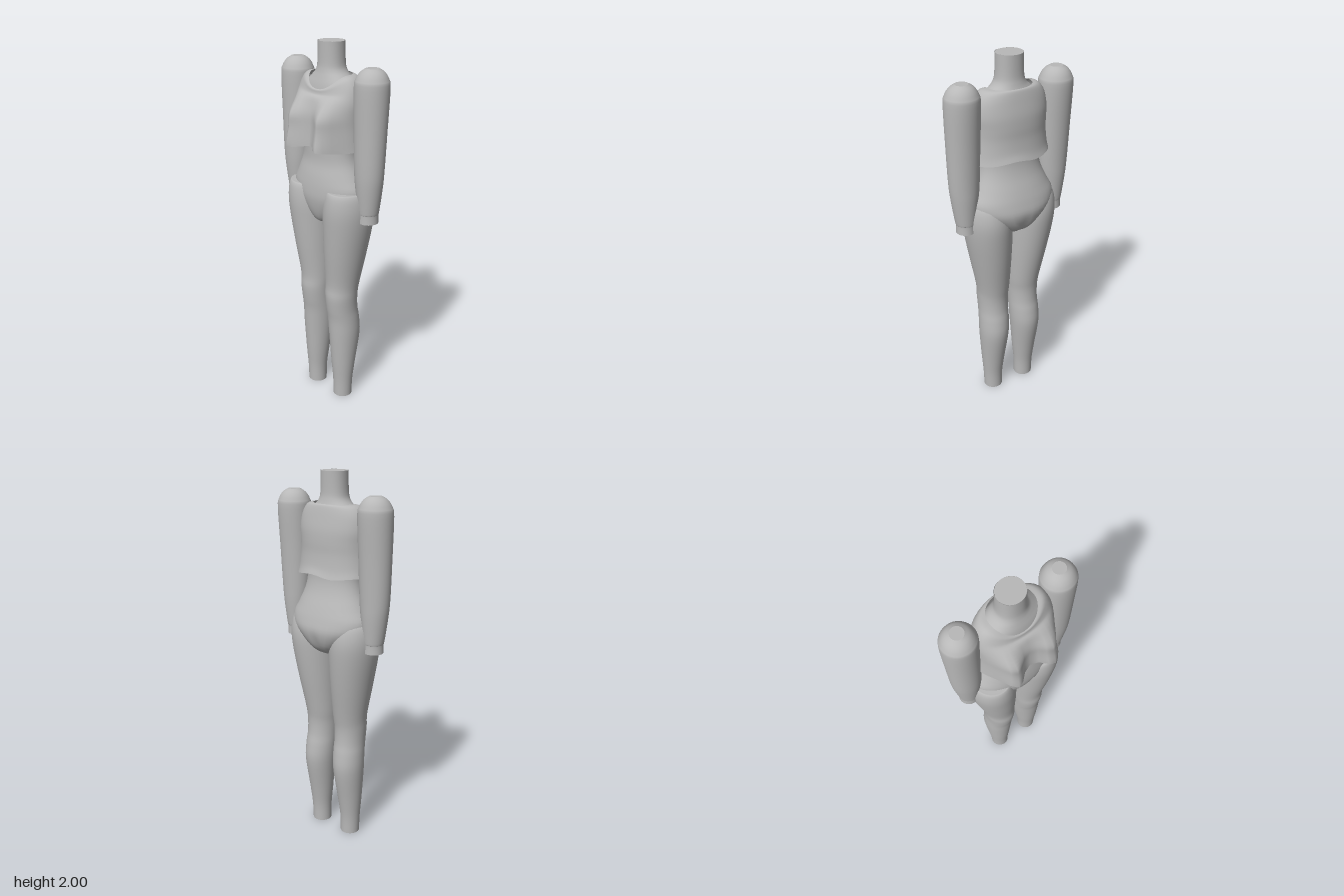
import * as THREE from 'three';

const SEG = 40;
const grey = new THREE.MeshStandardMaterial({ color: 0xb8b8b8, side: THREE.DoubleSide });
grey.name = 'mannequin grey';

// Smooth value between cross-sections
function spline(p0, p1, p2, p3, t) {
  return 0.5 * (2 * p1 + (p2 - p0) * t + (2 * p0 - 5 * p1 + 4 * p2 - p3) * t * t
    + (3 * p1 - p0 - 3 * p2 + p3) * t * t * t);
}

// Rings run bottom to top: [y, centreX, halfWidth, zFront, zBack]
function loft(name, rings, { power = 2, steps = 4, deform } = {}) {
  const at = (i) => rings[Math.min(Math.max(i, 0), rings.length - 1)];
  const rows = [];
  for (let i = 0; i < rings.length - 1; i++) {
    for (let s = 0; s < steps; s++) {
      rows.push(rings[0].map((_, k) => spline(at(i - 1)[k], at(i)[k], at(i + 1)[k], at(i + 2)[k], s / steps)));
    }
  }
  rows.push(rings[rings.length - 1]);
  const pos = [], index = [];
  const round = (v) => Math.sign(v) * Math.abs(v) ** (2 / power);
  rows.forEach(([y, cx, rx, zf, zb], r) => {
    for (let j = 0; j < SEG; j++) {
      const a = (j / SEG) * Math.PI * 2;
      const p = new THREE.Vector3(
        cx + rx * round(Math.sin(a)), y,
        (zf + zb) / 2 + (zf - zb) / 2 * round(Math.cos(a)));
      if (deform) deform(p, Math.cos(a), y);
      pos.push(p.x, p.y, p.z);
      if (r < rows.length - 1) {
        const b = r * SEG + j, c = r * SEG + (j + 1) % SEG;
        index.push(b, c, b + SEG, c, c + SEG, b + SEG);
      }
    }
  });
  const geo = new THREE.BufferGeometry();
  geo.setAttribute('position', new THREE.Float32BufferAttribute(pos, 3));
  geo.setIndex(index);
  geo.computeVertexNormals();
  const mesh = new THREE.Mesh(geo, grey);
  mesh.name = name;
  return mesh;
}

// Flat horizontal disc closing the top of a tube
function cap(name, x, y, z, rx, rz) {
  const mesh = new THREE.Mesh(new THREE.CircleGeometry(1, SEG).scale(rx, rz, 1).rotateX(-Math.PI / 2), grey);
  mesh.position.set(x, y, z);
  mesh.name = name;
  return mesh;
}

const bell = (v, centre, width) => Math.exp(-(((v - centre) / width) ** 2));
const ramp = THREE.MathUtils.smoothstep;

export function createModel() {
  const model = new THREE.Group();
  model.name = 'mannequin';

  // Torso from crotch to neck
  model.add(loft('torso', [
    [1.06, 0, 0.01, -0.01, -0.04],
    [1.075, 0, 0.05, 0.06, -0.11],
    [1.12, 0, 0.12, 0.09, -0.165],
    [1.2, 0, 0.215, 0.108, -0.19],
    [1.265, 0, 0.238, 0.108, -0.18],
    [1.33, 0, 0.208, 0.1, -0.16],
    [1.4, 0, 0.177, 0.086, -0.135],
    [1.46, 0, 0.165, 0.084, -0.122],
    [1.52, 0, 0.168, 0.085, -0.12],
    [1.62, 0, 0.178, 0.09, -0.125],
    [1.73, 0, 0.178, 0.075, -0.125],
    [1.79, 0, 0.155, 0.065, -0.115],
    [1.83, 0, 0.112, 0.054, -0.105],
    [1.86, 0, 0.082, 0.046, -0.096],
    [1.9, 0, 0.071, 0.041, -0.09],
    [2, 0, 0.068, 0.04, -0.09],
  ], {
    power: 2.15,
    // slight cleft at the back of the hips
    deform: (p, front, y) => {
      if (front < 0) p.z += 0.014 * bell(p.x, 0, 0.02) * bell(y, 1.13, 0.06);
    },
  }));
  model.add(cap('neckCap', 0, 2, -0.025, 0.068, 0.065));

  // Loose cropped top draped over the chest
  model.add(loft('croppedTop', [
    [1.49, 0, 0.216, 0.128, -0.163],
    [1.53, 0, 0.21, 0.126, -0.152],
    [1.6, 0, 0.203, 0.122, -0.145],
    [1.66, 0, 0.202, 0.118, -0.145],
    [1.72, 0, 0.203, 0.104, -0.142],
    [1.78, 0, 0.192, 0.088, -0.132],
    [1.82, 0, 0.172, 0.082, -0.124],
    [1.84, 0, 0.148, 0.08, -0.118],
    [1.845, 0, 0.118, 0.074, -0.111],
  ], {
    power: 2.2,
    deform: (p, front, y) => {
      const f = Math.max(front, 0);
      // bust and the drape hanging below it
      const amount = (0.066 + 0.012 * (1 - ramp(y, 1.49, 1.6))) * (1 - ramp(y, 1.63, 1.78));
      p.z += amount * bell(Math.abs(p.x), 0.105, 0.055) * ramp(front, 0, 0.5);
      // neckline scooped at the front, wavy hem
      p.y -= 0.07 * f * f * ramp(y, 1.72, 1.845);
      p.y += (1 - ramp(y, 1.49, 1.56)) * (0.008 * bell(p.x, 0, 0.07) + 0.006 * Math.sin(p.x * 24));
    },
  }));

  for (const [side, s] of [['left', 1], ['right', -1]]) {
    // Leg, open at the ankle and sunk into the hip at the top
    model.add(loft(side + 'Leg', [
      [0, s * 0.105, 0.053, 0.035, -0.07],
      [0.1, s * 0.106, 0.056, 0.038, -0.073],
      [0.22, s * 0.105, 0.067, 0.048, -0.09],
      [0.4, s * 0.103, 0.082, 0.06, -0.12],
      [0.5, s * 0.1, 0.084, 0.066, -0.115],
      [0.57, s * 0.098, 0.083, 0.076, -0.103],
      [0.65, s * 0.098, 0.086, 0.084, -0.1],
      [0.73, s * 0.099, 0.092, 0.081, -0.11],
      [0.9, s * 0.113, 0.11, 0.1, -0.138],
      [1.05, s * 0.126, 0.124, 0.114, -0.158],
      [1.15, s * 0.133, 0.128, 0.121, -0.165],
      [1.22, s * 0.137, 0.12, 0.118, -0.155],
      [1.262, s * 0.138, 0.107, 0.108, -0.135],
      [1.267, s * 0.138, 0.09, 0.09, -0.11],
      [1.268, s * 0.138, 0.01, 0.005, -0.02],
    ]));

    // Arm, open at the wrist with a rounded shoulder
    model.add(loft(side + 'Arm', [
      [1.12, s * 0.263, 0.052, 0.02, -0.084],
      [1.165, s * 0.263, 0.051, 0.019, -0.083],
      [1.18, s * 0.263, 0.055, 0.022, -0.086],
      [1.3, s * 0.264, 0.071, 0.035, -0.096],
      [1.4, s * 0.264, 0.08, 0.041, -0.1],
      [1.6, s * 0.264, 0.086, 0.045, -0.109],
      [1.8, s * 0.264, 0.089, 0.05, -0.121],
      [1.845, s * 0.264, 0.081, 0.043, -0.115],
      [1.878, s * 0.264, 0.06, 0.022, -0.096],
      [1.896, s * 0.264, 0.033, -0.004, -0.07],
    ]));
    model.add(cap(side + 'ShoulderCap', s * 0.264, 1.896, -0.037, 0.033, 0.033));
  }
  return model;
}
